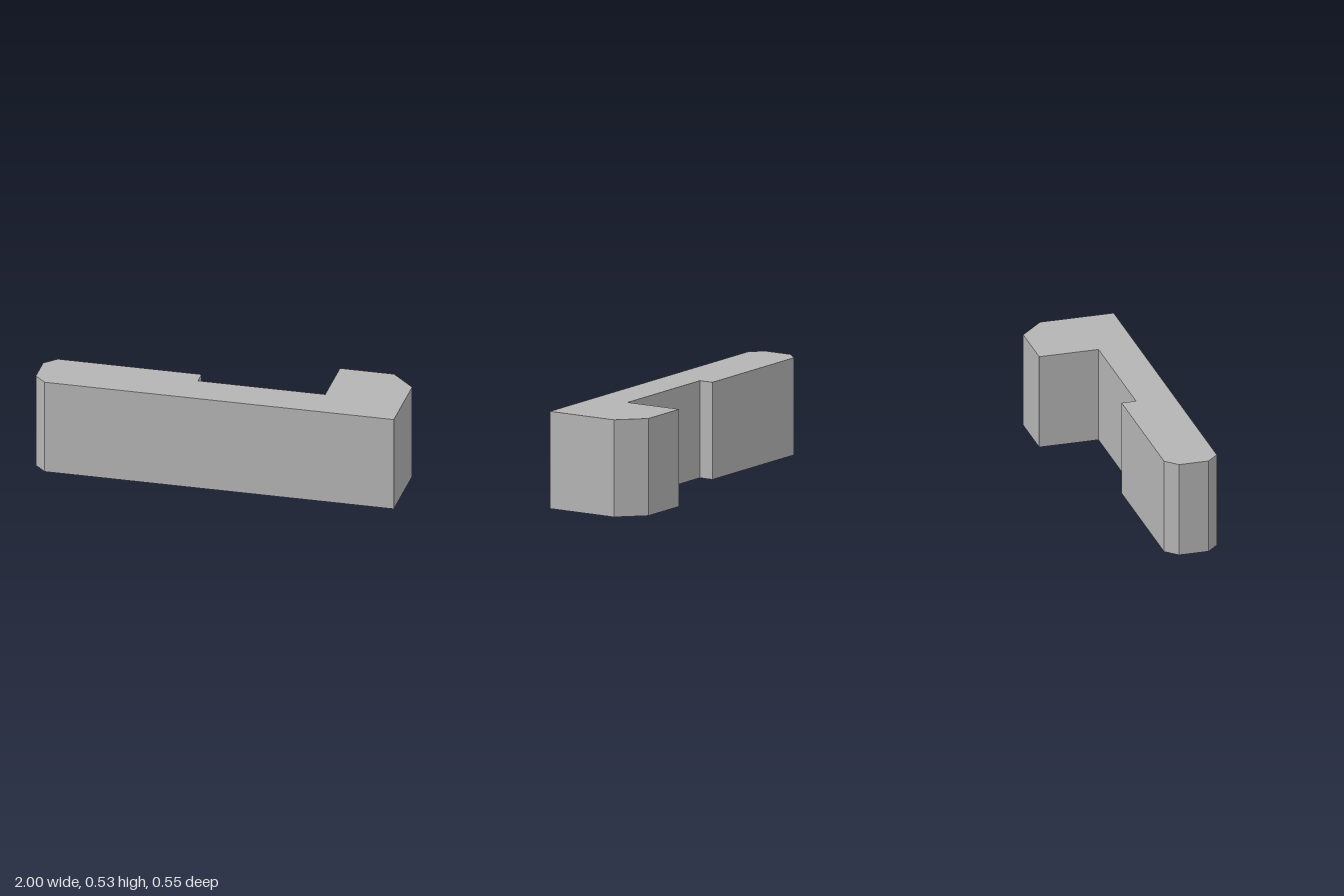
import * as THREE from 'three';

export function createModel() {
  const group = new THREE.Group();
  group.name = 'steppedBlock';
  const grey = new THREE.MeshStandardMaterial({ color: 0xb4b4b4 });
  grey.name = 'plainGrey';

  // Plan outline as [x, z]: chamfered bar, shallow recess and chamfered end block
  const outline = [
    [-0.935, 0.274], [1, 0.274], [1, -0.14], [0.867, -0.274],
    [0.567, -0.274], [0.567, 0.059], [-0.138, 0.059], [-0.138, -0.022],
    [-0.935, -0.022], [-1, 0.043], [-1, 0.209],
  ];
  const shape = new THREE.Shape(outline.map(([x, z]) => new THREE.Vector2(x, -z)));

  // Extrude the plan straight up from the ground
  const geometry = new THREE.ExtrudeGeometry(shape, { depth: 0.534, bevelEnabled: false });
  geometry.rotateX(-Math.PI / 2);

  const body = new THREE.Mesh(geometry, grey);
  body.name = 'body';
  group.add(body);
  return group;
}
